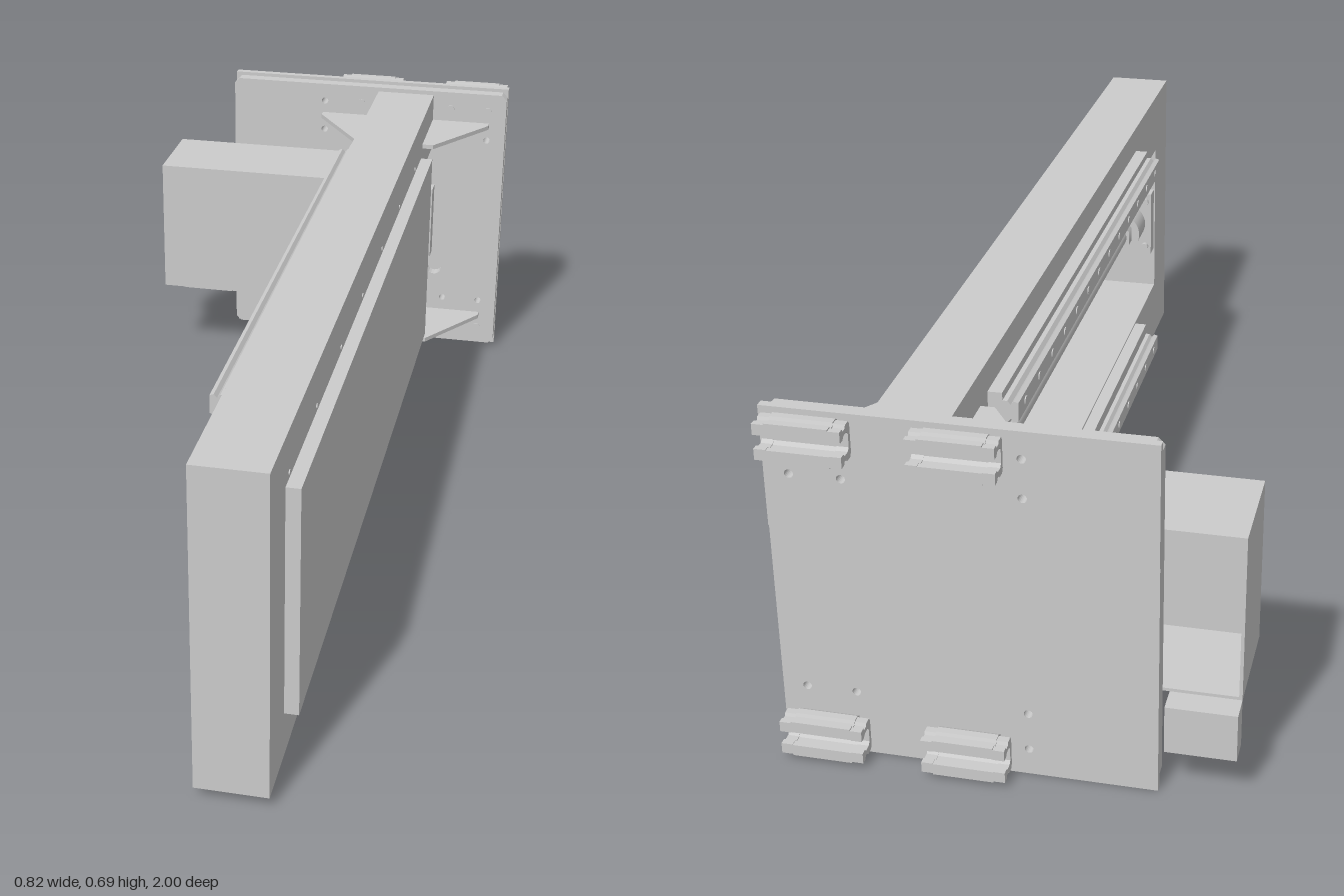
import * as THREE from 'three';

const grey = new THREE.MeshStandardMaterial({ color: 0xcccccc });
const CY = 0.345; // height of the screw axis and of the mirror plane
const CX = 0.16;  // sideways position of the screw axis

export function createModel() {
  const model = new THREE.Group();

  const add = (name, geometry) => {
    const mesh = new THREE.Mesh(geometry, grey);
    mesh.name = name;
    model.add(mesh);
    return mesh;
  };
  // box from its limits on each axis
  const box = (name, x0, x1, y0, y1, z0, z1) =>
    add(name, new THREE.BoxGeometry(x1 - x0, y1 - y0, z1 - z0)
      .translate((x0 + x1) / 2, (y0 + y1) / 2, (z0 + z1) / 2));
  // cylinder along z
  const rod = (name, x, y, z0, z1, r, sides = 32) =>
    add(name, new THREE.CylinderGeometry(r, r, z1 - z0, sides)
      .rotateX(Math.PI / 2).translate(x, y, (z0 + z1) / 2));
  // cylinder along x
  const pin = (name, x0, x1, y, z, r) =>
    add(name, new THREE.CylinderGeometry(r, r, x1 - x0, 12)
      .rotateZ(Math.PI / 2).translate((x0 + x1) / 2, y, z));
  const shapeOf = (pts) => new THREE.Shape(pts.map(([a, b]) => new THREE.Vector2(a, b)));
  const extrude = (shape, depth) =>
    new THREE.ExtrudeGeometry(shape, { depth, bevelEnabled: false, curveSegments: 10 });
  // outline given as (z, y), swept from x0 to x1
  const sweepX = (name, pts, x0, x1) =>
    add(name, extrude(shapeOf(pts), x1 - x0).rotateY(-Math.PI / 2).translate(x1, 0, 0));
  // outline given as (x, z), swept from y0 to y1
  const sweepY = (name, pts, y0, y1) =>
    add(name, extrude(shapeOf(pts), y1 - y0).rotateX(Math.PI / 2).translate(0, y1, 0));

  // Beam: a long U-shaped arm, open towards the back plate
  sweepX('beam', [
    [-0.91, 0.022], [1, 0.022], [1, 0.668], [-0.91, 0.668],
    [-0.91, 0.53], [0.86, 0.53], [0.86, 0.165], [-0.91, 0.165],
  ], 0.092, 0.229);
  box('coverPanel', 0.229, 0.256, 0.115, 0.575, -0.71, 0.88);

  // Small screws along the edges of the cover panel
  for (let i = 0; i < 7; i++)
    for (const s of [-1, 1]) pin('coverScrew', 0.22, 0.231, CY + s * 0.242, 0.85 - i * 0.242, 0.005);

  // Guide rails on the open side of the beam
  for (const s of [-1, 1]) {
    const y = CY + s * 0.23;
    const m = CY + s * 0.225;
    box('railMount', 0.065, 0.092, m - 0.041, m + 0.041, -0.68, 0.62);
    const rail = [
      [0.066, 0.021], [0.056, 0.021], [0.05, 0.014], [0.044, 0.021], [0.036, 0.018],
      [0.036, -0.018], [0.044, -0.021], [0.05, -0.014], [0.056, -0.021], [0.066, -0.021],
    ].map(([a, b]) => [a, b + y]);
    add('guideRail', extrude(shapeOf(rail), 1.3).translate(0, 0, -0.68));
    for (let i = 0; i < 13; i++) pin('railBolt', 0.034, 0.04, y, -0.63 + i * 0.1, 0.009);
  }

  // Ball screw and its front bearing
  rod('ballScrew', CX, CY, -0.8, 0.84, 0.024);
  box('bearingFlange', CX - 0.065, CX + 0.065, CY - 0.08, CY + 0.08, 0.825, 0.86);
  rod('bearingHousing', CX, CY, 0.75, 0.83, 0.05);
  rod('lockNut', CX, CY, 0.72, 0.75, 0.035, 6);
  for (const sx of [-1, 1])
    for (const sy of [-1, 1]) {
      rod('bearingBolt', CX + sx * 0.05, CY + sy * 0.06, 0.815, 0.825, 0.009, 12);
      rod('housingBolt', CX + sx * 0.06, CY + sy * 0.07, -0.87, -0.84, 0.011, 12);
    }

  // Drive housing fixed to the back plate
  box('housingFlange', CX - 0.08, CX + 0.08, CY - 0.09, CY + 0.09, -0.91, -0.87);
  box('housingBody', CX - 0.06, CX + 0.06, CY - 0.05, CY + 0.05, -0.87, -0.77);
  rod('housingDrum', CX, CY, -0.865, -0.765, 0.075);
  rod('housingCollar', CX, CY, -0.768, -0.745, 0.06);
  box('clampBar', CX - 0.02, CX + 0.02, CY - 0.13, CY + 0.13, -0.83, -0.808);

  // Back plate, with bolt holes, in two layers
  const holes = [
    [-0.042, 0.635], [-0.042, 0.561], [0.272, 0.561], [0.364, 0.561],
    [-0.042, 0.128], [0.272, 0.128], [0.364, 0.128], [-0.042, 0.053],
  ];
  const punch = (shape, x, y, r) =>
    shape.holes.push(new THREE.Path().absarc(x, y, r, 0, Math.PI * 2, true));
  const front = shapeOf([
    [-0.26, 0.01], [0.396, 0.01], [0.408, 0.022], [0.408, 0.666],
    [0.396, 0.678], [-0.26, 0.678], [-0.272, 0.666], [-0.272, 0.022],
  ]);
  holes.forEach(([x, y]) => punch(front, x, y, 0.008));
  punch(front, 0.247, 0.212, 0.02);
  for (const y of [0.105, 0.122, 0.143]) punch(front, -0.264, y, 0.005);
  add('backPlateFront', extrude(front, 0.027).translate(0, 0, -0.935));
  const panel = (name, y0, y1, depth) => {
    const s = shapeOf([[-0.273, y0], [0.409, y0], [0.409, y1], [-0.273, y1]]);
    holes.forEach(([x, y]) => { if (y > y0 && y < y1) punch(s, x, y, 0.008); });
    add(name, extrude(s, depth).translate(0, 0, -0.935 - depth));
  };
  panel('backPlateLower', 0, 0.455, 0.013);
  panel('backPlateUpper', 0.455, 0.686, 0.016);

  // Bolts, gussets and carriages, mirrored top and bottom
  for (const s of [-1, 1]) {
    for (const x of [0.05, 0.272, 0.364])
      rod('plateBolt', x, CY + s * 0.291, -0.92, -0.905, 0.009, 16);

    const g = CY + s * 0.255;
    sweepY('leftGusset', [[0.229, -0.909], [0.368, -0.909], [0.368, -0.89], [0.255, -0.725], [0.229, -0.725]],
      g - 0.005, g + 0.005);
    sweepY('rightGusset', [[0.092, -0.909], [-0.047, -0.909], [-0.047, -0.89], [0.066, -0.725], [0.092, -0.725]],
      g - 0.005, g + 0.005);

    // grooved carriage profile, open towards the back
    const y = CY + s * 0.298;
    const half = [[-0.945, 0.028], [-0.958, 0.036], [-0.972, 0.036], [-0.975, 0.03],
      [-0.985, 0.03], [-0.988, 0.036], [-1, 0.036], [-1, 0.014], [-0.988, 0.014],
      [-0.982, 0.02], [-0.968, 0.02], [-0.962, 0.014]];
    const profile = [...half, ...half.map(([a, b]) => [a, -b]).reverse()]
      .map(([a, b]) => [a, b + y]);
    const cap = profile.map(([a, b]) => [Math.min(a, -0.953), y + (b - y) * 0.93]);
    for (const x of [0.065, 0.325]) {
      sweepX('carriage', profile, x - 0.055, x + 0.055);
      sweepX('carriageEndCap', cap, x - 0.076, x - 0.055);
      sweepX('carriageEndCap', cap, x + 0.055, x + 0.076);
    }
  }

  // Sheet cover beside the beam, open at the back
  const t = 0.006;
  box('sideCoverFront', -0.411, 0.092, 0.184, 0.506, -0.71 - t, -0.71);
  box('sideCoverTop', -0.411, 0.092, 0.506 - t, 0.506, -0.907, -0.71 - t);
  box('sideCoverBottom', -0.411, 0.092, 0.184, 0.184 + t, -0.907, -0.71 - t);
  box('sideCoverEnd', -0.411, -0.411 + t, 0.184 + t, 0.506 - t, -0.907, -0.71 - t);
  box('cableBox', -0.411, -0.284, 0.091, 0.184, -0.955, -0.907);

  return model;
}
